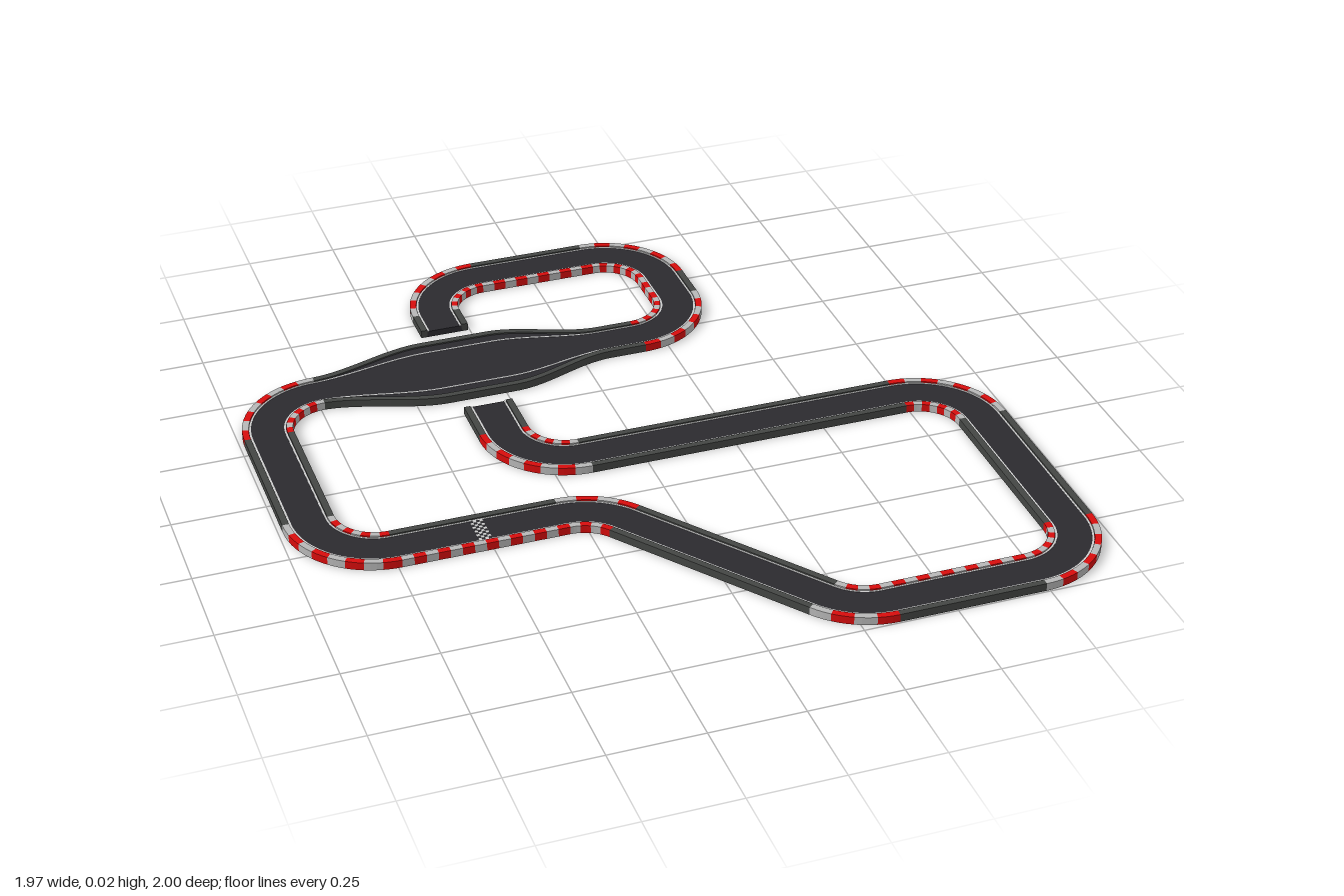
import * as THREE from 'three';
import { mergeGeometries } from 'three/addons/utils/BufferGeometryUtils.js';

const HALF = 0.068, LINE = 0.05, EDGE = 0.018; // half width, paint line offset, border width
const ROAD_TOP = 0.018, TOP = 0.022;

// Corners of the circuit: x, z, bend radius
const CORNERS = [
  [-0.323, -0.26, 0], [-0.323, 0.057, 0.17], [0.915, 0.057, 0.175], [0.915, 0.928, 0.175],
  [0.256, 0.928, 0.18], [-0.207, 0.307, 0.18], [-0.92, 0.307, 0.18], [-0.92, -0.473, 0.18],
  [0.35, -0.473, 0.17], [0.35, -0.935, 0.17], [-0.323, -0.935, 0.17], [-0.323, -0.68, 0],
];
// Straights with a kerb along one side (+1 right of travel, -1 left)
const STRAIGHT_KERBS = { 3: 1, 5: -1, 8: -1, 9: -1 };
const WIDE_STRAIGHT = 7;

// Split the circuit into straights and arcs, each with at(t) -> position and direction
function buildPieces() {
  const pts = CORNERS.map(([x, z]) => new THREE.Vector2(x, z));
  const pieces = [];
  let from = pts[0];
  for (let i = 0; i < pts.length - 1; i++) {
    const d = pts[i + 1].clone().sub(pts[i]).normalize();
    const last = i === pts.length - 2;
    const next = last ? d : pts[i + 2].clone().sub(pts[i + 1]).normalize();
    const turn = Math.atan2(d.cross(next), d.dot(next));
    const r = CORNERS[i + 1][2];
    const end = pts[i + 1].clone().addScaledVector(d, -r * Math.tan(Math.abs(turn) / 2));
    const start = from;
    pieces.push({
      length: start.distanceTo(end), wide: i === WIDE_STRAIGHT,
      steps: i === WIDE_STRAIGHT ? 64 : 1,
      kerbs: STRAIGHT_KERBS[i] ? [STRAIGHT_KERBS[i]] : [],
      at: (t) => ({ p: start.clone().lerp(end, t), d }),
    });
    if (last) break;
    const side = Math.sign(turn);
    const centre = end.clone().add(new THREE.Vector2(-d.y, d.x).multiplyScalar(side * r));
    const arm = end.clone().sub(centre);
    const origin = new THREE.Vector2();
    pieces.push({
      length: r * Math.abs(turn), steps: 24, kerbs: [1, -1],
      at: (t) => ({
        p: arm.clone().rotateAround(origin, turn * t).add(centre),
        d: d.clone().rotateAround(origin, turn * t),
      }),
    });
    from = pts[i + 1].clone().addScaledVector(next, r * Math.tan(Math.abs(turn) / 2));
  }
  return pieces;
}

// 0..1 amount of widening along the broad middle straight
const bulge = (piece, x) => piece.wide
  ? THREE.MathUtils.smoothstep(x, -0.75, -0.41) * (1 - THREE.MathUtils.smoothstep(x, -0.22, 0.08)) : 0;
const halfAt = (k) => HALF + 0.079 * k;
const lineAt = (k) => LINE + 0.05 * k;

// Sweep a rectangle along part of a piece; a(k) and b(k) are its offsets, a < b
function sweep(piece, a, b, y0, y1, t0 = 0, t1 = 1, steps = piece.steps) {
  const rings = [];
  for (let i = 0; i <= steps; i++) {
    const { p, d } = piece.at(t0 + (t1 - t0) * i / steps);
    const k = bulge(piece, p.x);
    const corner = (o, y) => [p.x - d.y * o, y, p.y + d.x * o];
    rings.push([corner(a(k), y0), corner(b(k), y0), corner(b(k), y1), corner(a(k), y1)]);
  }
  const pos = [];
  const quad = (p, q, r, s) => pos.push(...p, ...q, ...r, ...p, ...r, ...s);
  for (let i = 0; i < steps; i++) {
    for (let j = 0; j < 4; j++) {
      const m = (j + 1) % 4;
      quad(rings[i][j], rings[i + 1][j], rings[i + 1][m], rings[i][m]);
    }
  }
  quad(...rings[0]);
  quad(...rings[steps].slice().reverse());
  const g = new THREE.BufferGeometry();
  g.setAttribute('position', new THREE.Float32BufferAttribute(pos, 3));
  g.computeVertexNormals();
  return g;
}

// Strip on one side of the centre line, between two distances from it
function sideStrip(piece, side, inner, outer, ...rest) {
  return side > 0 ? sweep(piece, inner, outer, ...rest)
    : sweep(piece, (k) => -outer(k), (k) => -inner(k), ...rest);
}

export function createModel() {
  const group = new THREE.Group();
  group.name = 'raceTrack';
  const road = [], lines = [], borders = [], red = [], pale = [], checks = [];
  const innerEdge = (k) => halfAt(k) - EDGE;

  for (const piece of buildPieces()) {
    // Asphalt
    road.push(sweep(piece, (k) => -innerEdge(k), innerEdge, 0, ROAD_TOP));
    for (const side of [1, -1]) {
      // Painted edge line
      lines.push(sideStrip(piece, side, (k) => lineAt(k) - 0.006, (k) => lineAt(k) - 0.001,
        ROAD_TOP - 0.002, ROAD_TOP + 0.001));
      if (!piece.kerbs.includes(side)) {
        borders.push(sideStrip(piece, side, innerEdge, halfAt, 0, TOP));
        continue;
      }
      // Striped kerb blocks
      const n = Math.max(2, 2 * Math.round(piece.length / 0.068));
      for (let i = 0; i < n; i++) {
        (i % 2 ? pale : red).push(
          sideStrip(piece, side, innerEdge, halfAt, 0, TOP, i / n, (i + 1) / n, 3));
      }
    }
  }

  // Chequered start line
  const size = 0.0088;
  for (let c = 0; c < 4; c++) {
    for (let r = 0; r < 12; r++) {
      if ((c + r) % 2) continue;
      const g = new THREE.BoxGeometry(size, 0.002, size);
      g.translate(-0.515 + (c - 1.5) * size, ROAD_TOP, 0.307 + (r - 5.5) * size);
      checks.push(g);
    }
  }

  const add = (name, color, parts) => {
    const mesh = new THREE.Mesh(mergeGeometries(parts), new THREE.MeshStandardMaterial({ color }));
    mesh.name = name;
    group.add(mesh);
  };
  add('roadSurface', 0x2b2a2f, road);
  add('edgeLines', 0xd8d8d8, lines);
  add('roadBorders', 0x444644, borders);
  add('redKerbs', 0xd80c0c, red);
  add('paleKerbs', 0xb8b8b8, pale);
  add('startLine', 0xe0e0e0, checks);
  return group;
}
